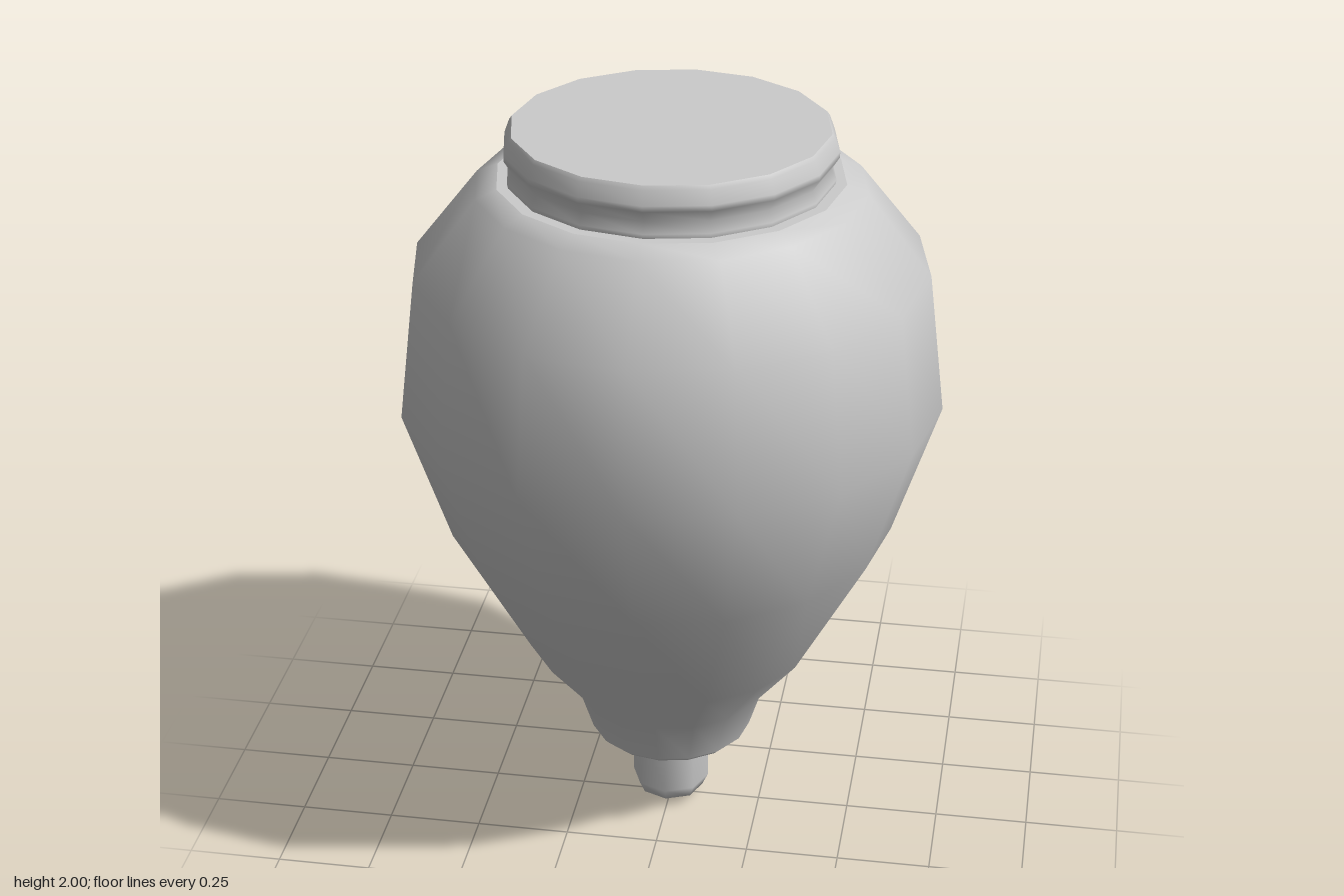
import * as THREE from 'three';

const material = new THREE.MeshStandardMaterial({ color: 0xcccccc });

// Revolves a bottom-to-top list of [radius, height] points
function turned(name, points, sides) {
  const profile = points.map(([r, y]) => new THREE.Vector2(r, y));
  const mesh = new THREE.Mesh(new THREE.LatheGeometry(profile, sides), material);
  mesh.name = name;
  return mesh;
}

export function createModel() {
  const model = new THREE.Group();
  model.name = 'spinningTop';

  // Pear-shaped body with a narrow collar at its foot
  model.add(turned('body', [
    [0.205, 0.235], [0.22, 0.25], [0.26, 0.375], [0.39, 0.535], [0.59, 0.9],
    [0.71, 1.265], [0.665, 1.635], [0.5, 1.845], [0.445, 1.868],
  ], 16));
  model.add(turned('bodyUnderside', [[0, 0.235], [0.205, 0.235]], 16));
  model.add(turned('shoulder', [[0.445, 1.868], [0.38, 1.868]], 16));

  // Crown: waisted rim with a flat lid
  model.add(turned('crownRim', [
    [0.415, 1.865], [0.418, 1.88], [0.405, 1.908], [0.425, 1.94],
    [0.425, 1.955], [0.412, 1.99], [0.405, 2],
  ], 16));
  model.add(turned('crownLid', [[0.405, 2], [0, 2]], 16));

  // Rounded spinning tip
  model.add(turned('tip', [
    [0, 0], [0.055, 0.01], [0.09, 0.03], [0.106, 0.065], [0.106, 0.26],
  ], 8));

  return model;
}
